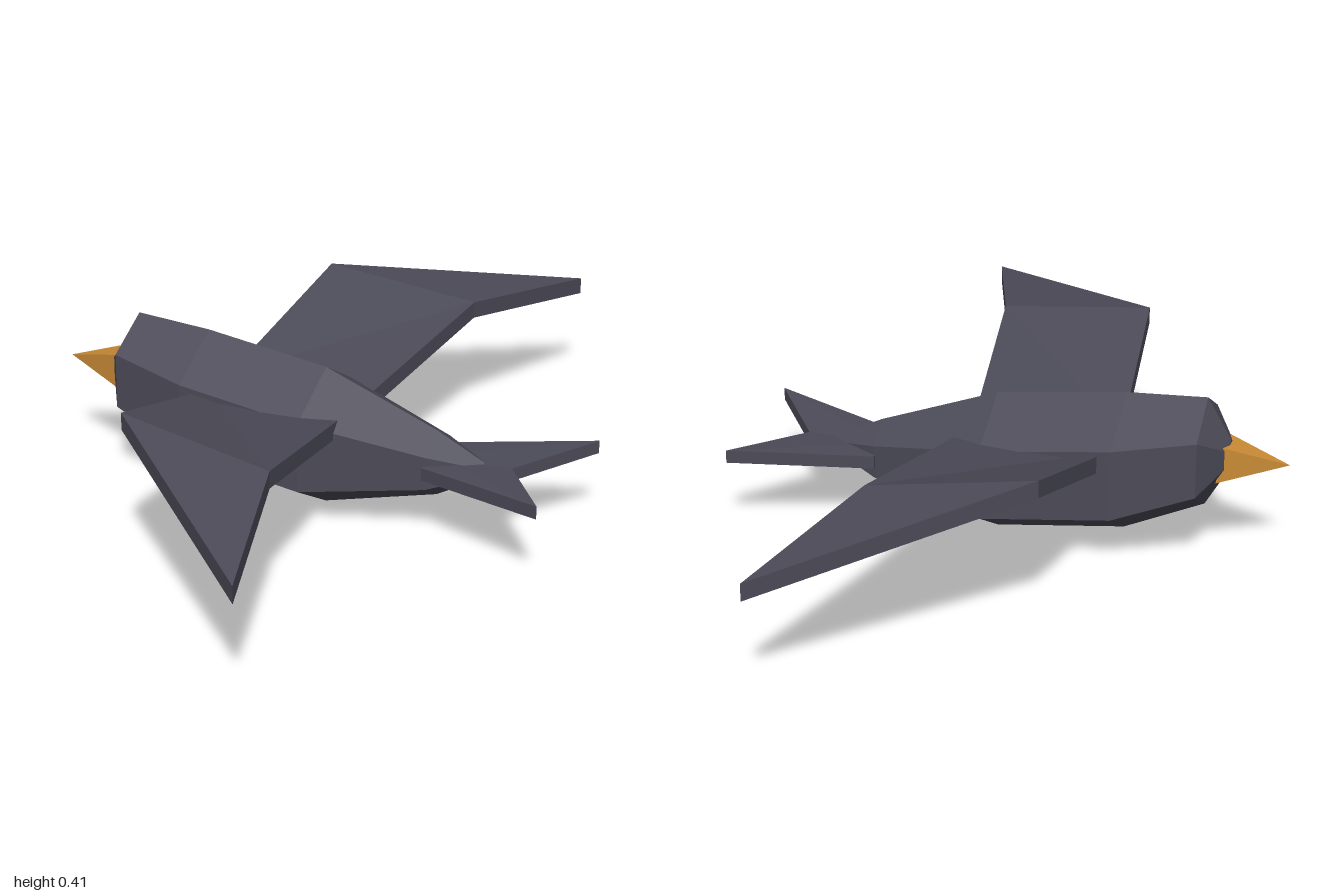
import * as THREE from 'three';

const plumage = new THREE.MeshStandardMaterial({ name: 'slate plumage', color: 0x4b4a57, flatShading: true });
const horn = new THREE.MeshStandardMaterial({ name: 'amber horn', color: 0xc98a35, flatShading: true });

function fromTriangles(triangles) {
  const geometry = new THREE.BufferGeometry();
  geometry.setAttribute('position', new THREE.Float32BufferAttribute(triangles.flat(2), 3));
  geometry.computeVertexNormals();
  return geometry;
}

// Closed hull through hexagonal rings [x, centreY, radius], running towards +x
function hexLoft(stations) {
  const rings = stations.map(([x, y, r]) => Array.from({ length: 6 }, (_, i) => {
    const a = (i * Math.PI) / 3;
    return [x, y + r * Math.cos(a), r * Math.sin(a)];
  }));
  const tris = [];
  for (let s = 0; s < rings.length - 1; s++) {
    for (let i = 0; i < 6; i++) {
      const j = (i + 1) % 6, a = rings[s], b = rings[s + 1];
      tris.push([a[i], a[j], b[j]], [a[i], b[j], b[i]]);
    }
  }
  const first = rings[0], last = rings[rings.length - 1];
  for (let i = 1; i < 5; i++) {
    tris.push([first[0], first[i + 1], first[i]], [last[0], last[i], last[i + 1]]);
  }
  return fromTriangles(tris);
}

// Slab below an upper outline; side = 1 or -1 mirrors it across z
function slab(outline, faces, thickness, side) {
  const top = outline.map(([x, y, z]) => [x, y, z * side]);
  const bottom = top.map(([x, y, z]) => [x, y - thickness, z]);
  const tris = [];
  for (const [a, b, c] of faces) {
    tris.push([top[a], top[b], top[c]], [bottom[a], bottom[c], bottom[b]]);
  }
  top.forEach((p, i) => {
    const j = (i + 1) % top.length;
    tris.push([p, bottom[i], bottom[j]], [p, bottom[j], top[j]]);
  });
  return fromTriangles(side > 0 ? tris : tris.map(([a, b, c]) => [a, c, b]));
}

export function createModel() {
  const model = new THREE.Group();
  model.name = 'bird';
  const add = (name, geometry, material) => {
    const mesh = new THREE.Mesh(geometry, material);
    mesh.name = name;
    model.add(mesh);
    return mesh;
  };

  // Head and body in one tapered hull
  add('body', hexLoft([
    [-0.54, 0.27, 0.037],
    [-0.48, 0.27, 0.141],
    [-0.28, 0.22, 0.181],
    [0.045, 0.181, 0.181],
    [0.345, 0.168, 0.085],
    [0.47, 0.173, 0.02],
  ]), plumage);

  // Four-sided beak pointing along -x
  const beakShape = new THREE.ConeGeometry(0.068, 0.17, 4);
  beakShape.rotateY(Math.PI / 4).rotateZ(Math.PI / 2);
  add('beak', beakShape, horn).position.set(-0.6, 0.258, 0);

  // Bent wings and forked tail, mirrored
  const wing = [
    [-0.255, 0.266, 0.06], [-0.21, 0.405, 0.545], [0.325, 0.3, 1],
    [0.19, 0.355, 0.575], [0.12, 0.268, 0.06],
  ];
  const tail = [
    [0.34, 0.187, 0], [0.34, 0.187, 0.083], [0.684, 0.213, 0.203], [0.54, 0.193, 0],
  ];
  for (const [label, side] of [['Front', 1], ['Back', -1]]) {
    add('wing' + label, slab(wing, [[0, 1, 3], [0, 3, 4], [1, 2, 3]], 0.043, side), plumage);
    add('tail' + label, slab(tail, [[0, 1, 2], [0, 2, 3]], 0.033, side), plumage);
  }
  return model;
}
